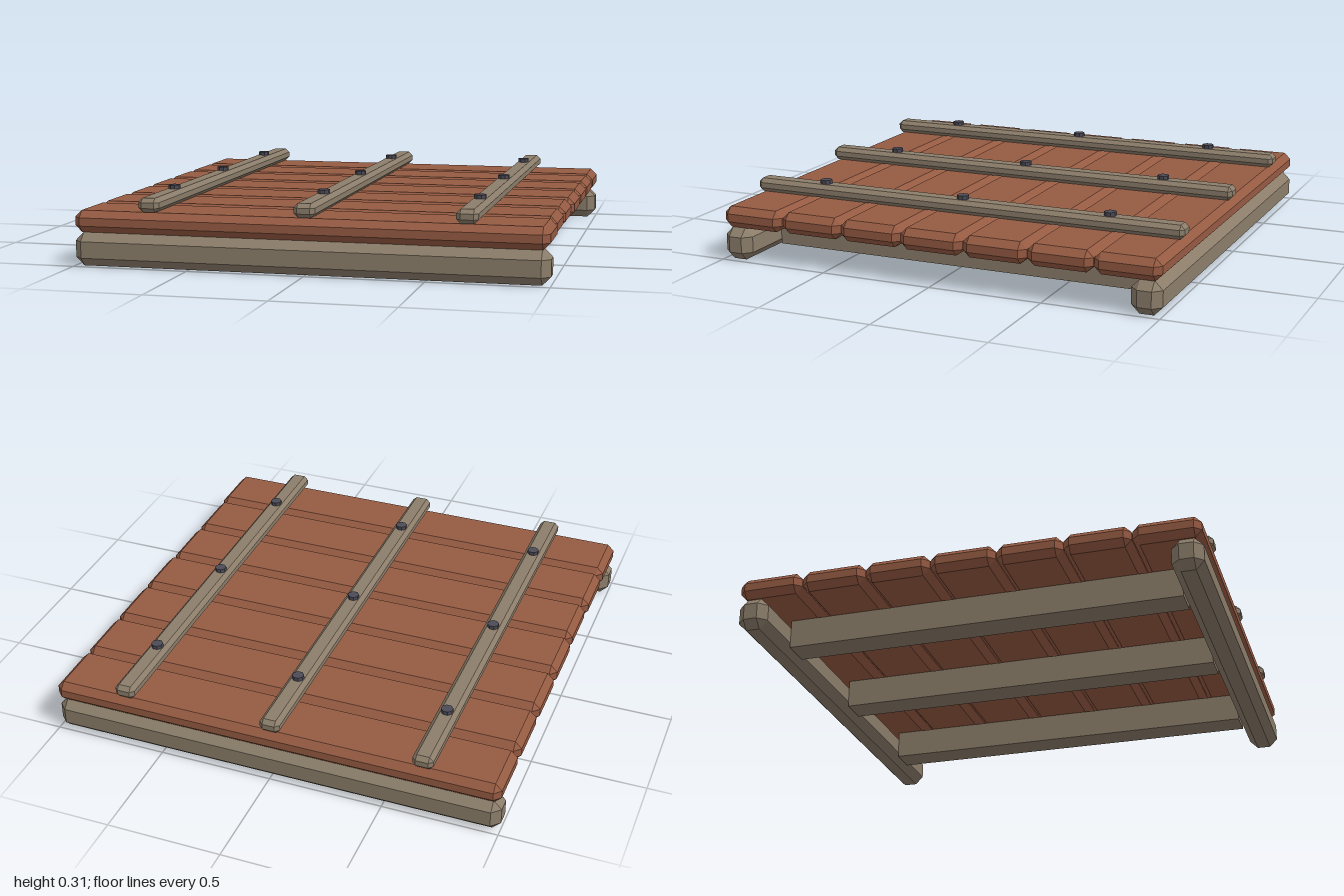
import * as THREE from 'three';
import { ConvexGeometry } from 'three/addons/geometries/ConvexGeometry.js';

// Box with every edge and corner cut by a flat chamfer c
function chamferBox(w, h, d, c) {
  const pts = [];
  for (const sx of [-1, 1]) for (const sy of [-1, 1]) for (const sz of [-1, 1]) {
    const x = w / 2, y = h / 2, z = d / 2;
    pts.push(
      new THREE.Vector3(sx * x, sy * (y - c), sz * (z - c)),
      new THREE.Vector3(sx * (x - c), sy * y, sz * (z - c)),
      new THREE.Vector3(sx * (x - c), sy * (y - c), sz * z));
  }
  return new ConvexGeometry(pts);
}

export function createModel() {
  const model = new THREE.Group();
  model.name = 'plankPlatform';

  const material = (name, color) => {
    const m = new THREE.MeshStandardMaterial({ color, flatShading: true });
    m.name = name;
    return m;
  };
  const plankWood = material('redPlankWood', 0x955a42);
  const frameWood = material('greyFrameWood', 0x8b7d6a);
  const iron = material('darkIron', 0x4b4a56);

  const add = (name, geometry, mat, x, y, z) => {
    const mesh = new THREE.Mesh(geometry, mat);
    mesh.name = name;
    mesh.position.set(x, y, z);
    model.add(mesh);
  };

  // Deck of seven planks, with slightly uneven ends
  const rightEnds = [1, 1, 1, 1, 0.992, 0.99, 0.996];
  rightEnds.forEach((end, i) => {
    const left = i === 4 ? -0.994 : -0.998;
    add('plank', chamferBox(end - left, 0.093, 0.283, 0.029), plankWood,
      (end + left) / 2, 0.194, -0.857 + i * 0.2855);
  });

  // Chamfered beams under the front and back edges
  const beam = chamferBox(2, 0.142, 0.132, 0.036);
  for (const side of [-1, 1]) add('endBeam', beam, frameWood, 0, 0.076, side * 0.934);

  // Joists below, battens above, three bolts along each batten
  const joist = new THREE.BoxGeometry(0.13, 0.127, 1.736);
  const batten = chamferBox(0.09, 0.06, 1.992, 0.018);
  const bolt = new THREE.CylinderGeometry(0.026, 0.026, 0.03, 8);
  bolt.rotateY(Math.PI / 8);
  for (const x of [-0.667, 0, 0.667]) {
    add('joist', joist, frameWood, x, 0.0835, 0);
    add('batten', batten, frameWood, x, 0.272, 0);
    for (const z of [-0.667, 0, 0.667]) add('bolt', bolt, iron, x, 0.304, z);
  }
  return model;
}
